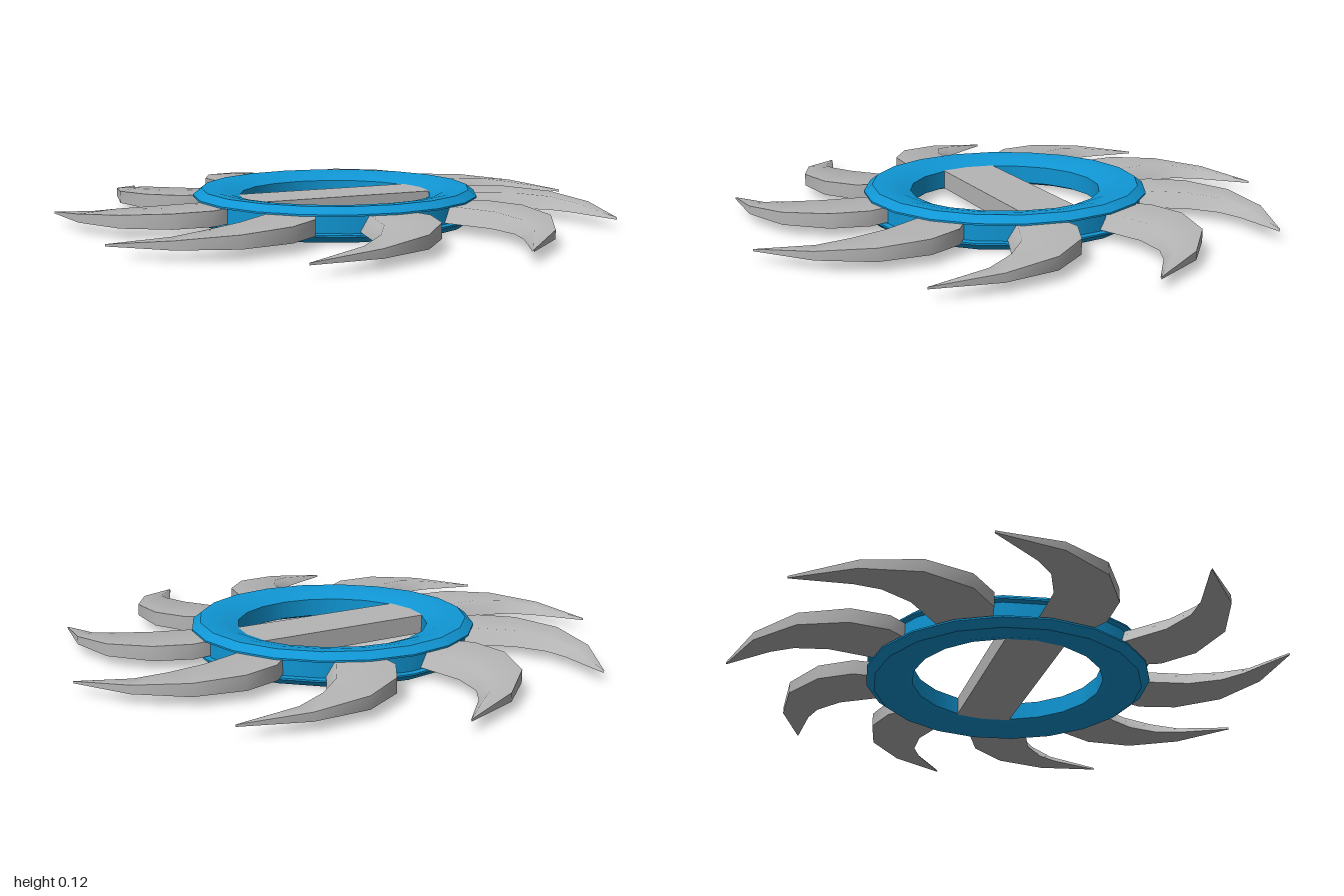
import * as THREE from 'three';
import { mergeGeometries } from 'three/addons/utils/BufferGeometryUtils.js';

const blue = new THREE.MeshStandardMaterial({ color: 0x1096d4 });
blue.name = 'ringBlue';
const steel = new THREE.MeshStandardMaterial({ color: 0xb5b5b5 });
steel.name = 'bladeSteel';

const BASE = 0.035; // flat underside of the blades

// Smooth strip through rows of points; separate strips meet in sharp edges
function strip(rows) {
  const n = rows[0].length, index = [];
  for (let i = 0; i < rows.length - 1; i++) {
    for (let j = 0; j < n - 1; j++) {
      const a = i * n + j, b = a + 1, c = a + n, d = c + 1;
      index.push(a, b, c, c, b, d);
    }
  }
  const g = new THREE.BufferGeometry();
  g.setAttribute('position', new THREE.Float32BufferAttribute(rows.flat(2), 3));
  g.setIndex(index);
  g.computeVertexNormals();
  return g;
}

// Curved blade: convex edge, concave edge and top height per section
function bladeGeometry() {
  const sections = [
    [0.37, -0.29, 0.42, -0.11, 0.09],
    [0.436, -0.36, 0.49, -0.138, 0.09],
    [0.57, -0.4, 0.645, -0.19, 0.088],
    [0.746, -0.364, 0.765, -0.186, 0.08],
    [0.9, -0.235, 0.848, -0.148, 0.065],
    [1.014, -0.032, 1.012, -0.03, 0.042],
  ];
  const top = [], wall = [], bottom = [];
  for (const [cx, cz, kx, kz, h] of sections) {
    const t = Math.min(0.5, 0.032 / Math.hypot(cx - kx, cz - kz));
    const ridge = [kx + (cx - kx) * t, h, kz + (cz - kz) * t];
    const under = [cx, BASE, cz], inner = [kx, BASE, kz], outer = [cx, h, cz];
    top.push([outer, ridge, inner]);
    wall.push([under, outer]);
    bottom.push([inner, under]);
  }
  return mergeGeometries([strip(top), strip(wall), strip(bottom)]);
}

// Ring: smooth runs of the profile, each a lathe, with sharp edges between
function ringGeometry() {
  const runs = [
    [[0.35, 0.027], [0.35, 0.093]],
    [[0.35, 0.093], [0.4, 0.11], [0.45, 0.119], [0.49, 0.12]],
    [[0.49, 0.12], [0.52, 0.097]],
    [[0.52, 0.097], [0.52, 0.091]],
    [[0.52, 0.091], [0.498, 0.089]],
    [[0.498, 0.089], [0.498, 0.031]],
    [[0.498, 0.031], [0.52, 0.029]],
    [[0.52, 0.029], [0.52, 0.023]],
    [[0.52, 0.023], [0.49, 0]],
    [[0.49, 0], [0.45, 0.001], [0.4, 0.01], [0.35, 0.027]],
  ];
  // reversed so that faces point out of the ring
  return mergeGeometries(runs.map((run) => new THREE.LatheGeometry(
    run.slice().reverse().map(([r, y]) => new THREE.Vector2(r, y)), 20)));
}

function addMesh(parent, name, geometry, material) {
  const mesh = new THREE.Mesh(geometry, material);
  mesh.name = name;
  parent.add(mesh);
  return mesh;
}

export function createModel() {
  const model = new THREE.Group();
  model.name = 'bladedRing';
  const wheel = new THREE.Group();
  wheel.name = 'wheel';
  wheel.position.x = -0.025;
  model.add(wheel);

  addMesh(wheel, 'ring', ringGeometry(), blue);

  // Grip across the opening
  const grip = addMesh(wheel, 'gripBar', new THREE.BoxGeometry(0.72, 0.07, 0.21), steel);
  grip.position.y = 0.06;

  // Nine blades around the ring
  const blade = bladeGeometry();
  for (let i = 0; i < 9; i++) {
    addMesh(wheel, `blade${i + 1}`, blade, steel).rotation.y = (-i * Math.PI * 2) / 9;
  }
  return model;
}
